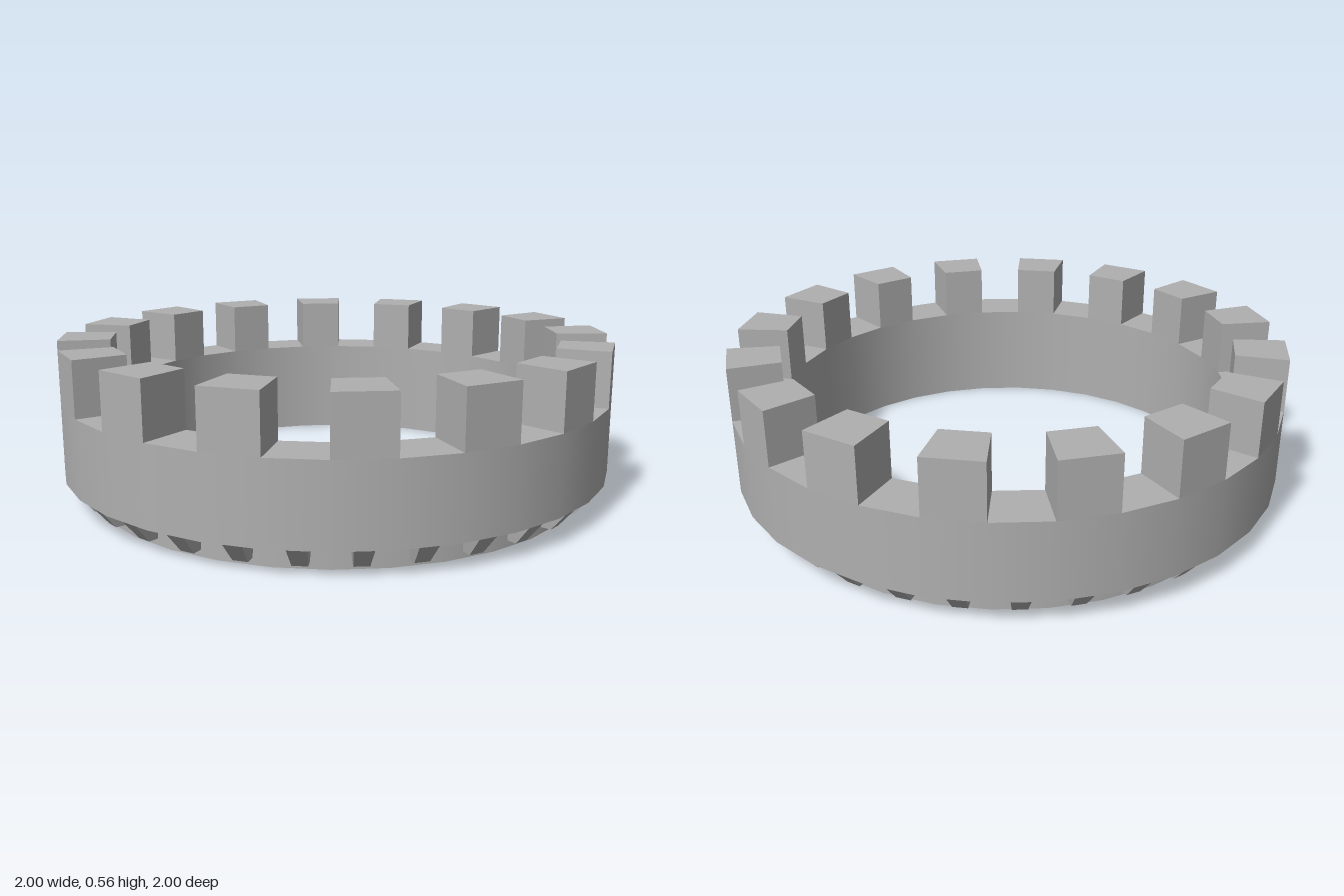
import * as THREE from 'three';

const SEG = 32;
const HALF = Math.PI / SEG;
const K = 1 / Math.cos(HALF); // flat-to-corner factor of the 32-sided ring

export function createModel() {
  const model = new THREE.Group();
  const stone = new THREE.MeshStandardMaterial({ color: 0xb0b0b0 });
  stone.name = 'stoneGrey';

  // One band of the ring between two (radius, height) points, smooth around
  function band(name, r0, y0, r1, y1) {
    const pts = [new THREE.Vector2(r0 * K, y0), new THREE.Vector2(r1 * K, y1)];
    const mesh = new THREE.Mesh(new THREE.LatheGeometry(pts, SEG, HALF, Math.PI * 2), stone);
    mesh.name = name;
    model.add(mesh);
  }

  // A ring of blocks; shape(v) moves the corners of a unit box (x, y, z in 0/1 terms)
  function blocks(name, count, shape) {
    const geo = new THREE.BoxGeometry(1, 1, 1);
    const pos = geo.attributes.position;
    for (let i = 0; i < pos.count; i++) {
      const p = shape(Math.sign(pos.getX(i)), pos.getY(i) > 0, pos.getZ(i) > 0);
      pos.setXYZ(i, p[0], p[1], p[2]);
    }
    geo.computeVertexNormals();
    const ring = new THREE.Group();
    ring.name = name + 'Ring';
    for (let i = 0; i < count; i++) {
      const mesh = new THREE.Mesh(geo, stone);
      mesh.name = name;
      mesh.rotation.y = (i / count) * Math.PI * 2;
      ring.add(mesh);
    }
    model.add(ring);
  }

  // Parapet wall and its narrower foot
  band('outerWall', 1, 0.095, 1, 0.37);
  band('wallTop', 1, 0.37, 0.815, 0.37);
  band('innerWall', 0.815, 0.37, 0.815, 0);
  band('footUnderside', 0.815, 0, 0.9, 0);
  band('footWall', 0.9, 0, 0.9, 0.095);
  band('wallUnderside', 0.9, 0.095, 1, 0.095);

  // Battlements: wedge blocks filling every other side of the ring
  blocks('merlon', 16, (sx, top, outer) => {
    const z = outer ? 1 : 0.815;
    return [sx * z * Math.tan(HALF), top ? 0.565 : 0.37, z];
  });

  // Tapered brackets under the overhanging wall
  blocks('corbel', 32, (sx, top, outer) => [
    sx * (top ? 0.032 : 0.025),
    top ? 0.095 : 0.022,
    outer ? (top ? 0.995 : 0.935) : 0.89,
  ]);

  return model;
}
